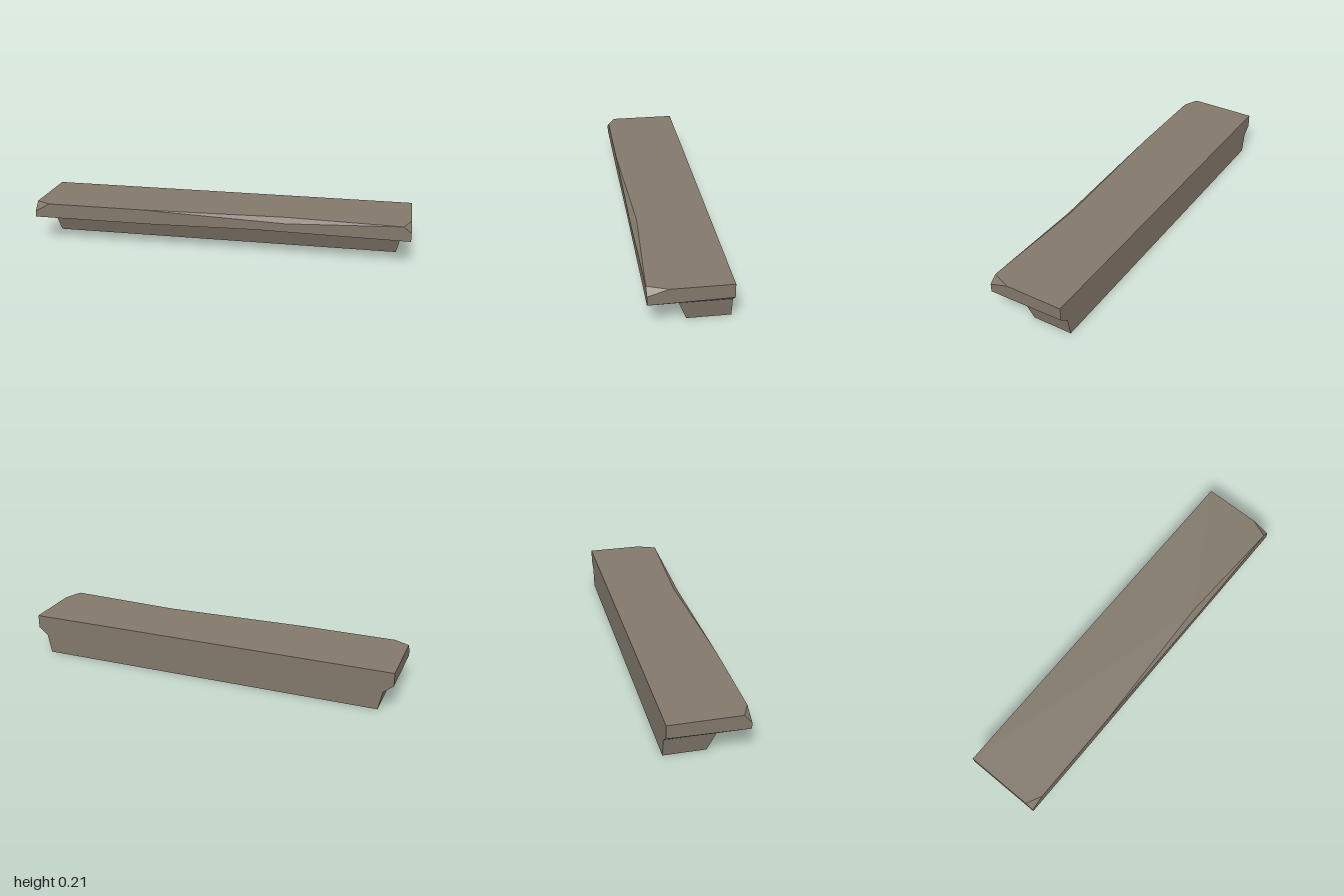
import * as THREE from 'three';

// Named corners of the ledge: [x, y, z]
const P = {
  // top outline, with broken front corners and a shallow chip in the front edge
  backL: [-1, 0.21, -0.2], backR: [1, 0.21, -0.2],
  sideL: [-1, 0.21, 0.16], sideR: [1, 0.21, 0.1],
  frontL: [-0.92, 0.21, 0.2], frontR: [0.96, 0.21, 0.2],
  dropL: [-1, 0.165, 0.2], dropR: [1, 0.178, 0.2],
  chipL: [-0.42, 0.21, 0.2], chipIn: [0.35, 0.21, 0.17], chipLow: [0.36, 0.185, 0.2],
  // lower rim of the slab
  rimL: [-1, 0.133, 0.2], rimR: [1, 0.133, 0.2],
  rimA: [-0.35, 0.133, 0.2], rimB: [0.2, 0.142, 0.2],
  rimBackL: [-1, 0.14, -0.2], rimBackR: [1, 0.14, -0.2],
  // neck where the slab meets the base
  neckL: [-0.95, 0.1, 0.05], neckR: [0.95, 0.1, 0.05],
  neckBackL: [-0.95, 0.1, -0.2], neckBackR: [0.95, 0.1, -0.2],
  // foot of the base
  footL: [-0.93, 0, 0.01], footR: [0.93, 0, 0.01],
  footBackL: [-0.93, 0, -0.2], footBackR: [0.93, 0, -0.2],
};

// Flat-faced mesh; each face is a fan around its first corner
function facetedMesh(name, faces, material) {
  const pos = [];
  for (const face of faces) {
    const c = face.split(' ').map((k) => P[k]);
    for (let i = 1; i < c.length - 1; i++) pos.push(...c[0], ...c[i], ...c[i + 1]);
  }
  const geo = new THREE.BufferGeometry();
  geo.setAttribute('position', new THREE.Float32BufferAttribute(pos, 3));
  geo.computeVertexNormals();
  const mesh = new THREE.Mesh(geo, material);
  mesh.name = name;
  return mesh;
}

export function createModel() {
  const stone = new THREE.MeshStandardMaterial({ color: 0x82786b });
  stone.name = 'stone';

  const group = new THREE.Group();
  group.name = 'stoneLedge';

  group.add(facetedMesh('slab', [
    // top and front
    'chipIn frontR sideR backR backL sideL frontL chipL',
    'chipLow chipL frontL dropL rimL rimA rimB rimR dropR frontR',
    // chip and broken corners
    'chipL chipLow chipIn',
    'chipIn chipLow frontR',
    'frontL sideL dropL',
    'frontR dropR sideR',
    // ends
    'backR sideR dropR rimR rimBackR',
    'backL rimBackL rimL dropL sideL',
    // sloping underside
    'neckL neckR rimR rimB rimA rimL',
    'rimBackR rimR neckR neckBackR',
    'neckBackL neckL rimL rimBackL',
    // back
    'backL backR rimBackR neckBackR neckBackL rimBackL',
  ], stone));

  group.add(facetedMesh('base', [
    'neckL footL footR neckR',
    'neckBackR neckR footR footBackR',
    'neckL neckBackL footBackL footL',
    'neckBackL neckBackR footBackR footBackL',
    'footL footBackL footBackR footR',
  ], stone));

  return group;
}
